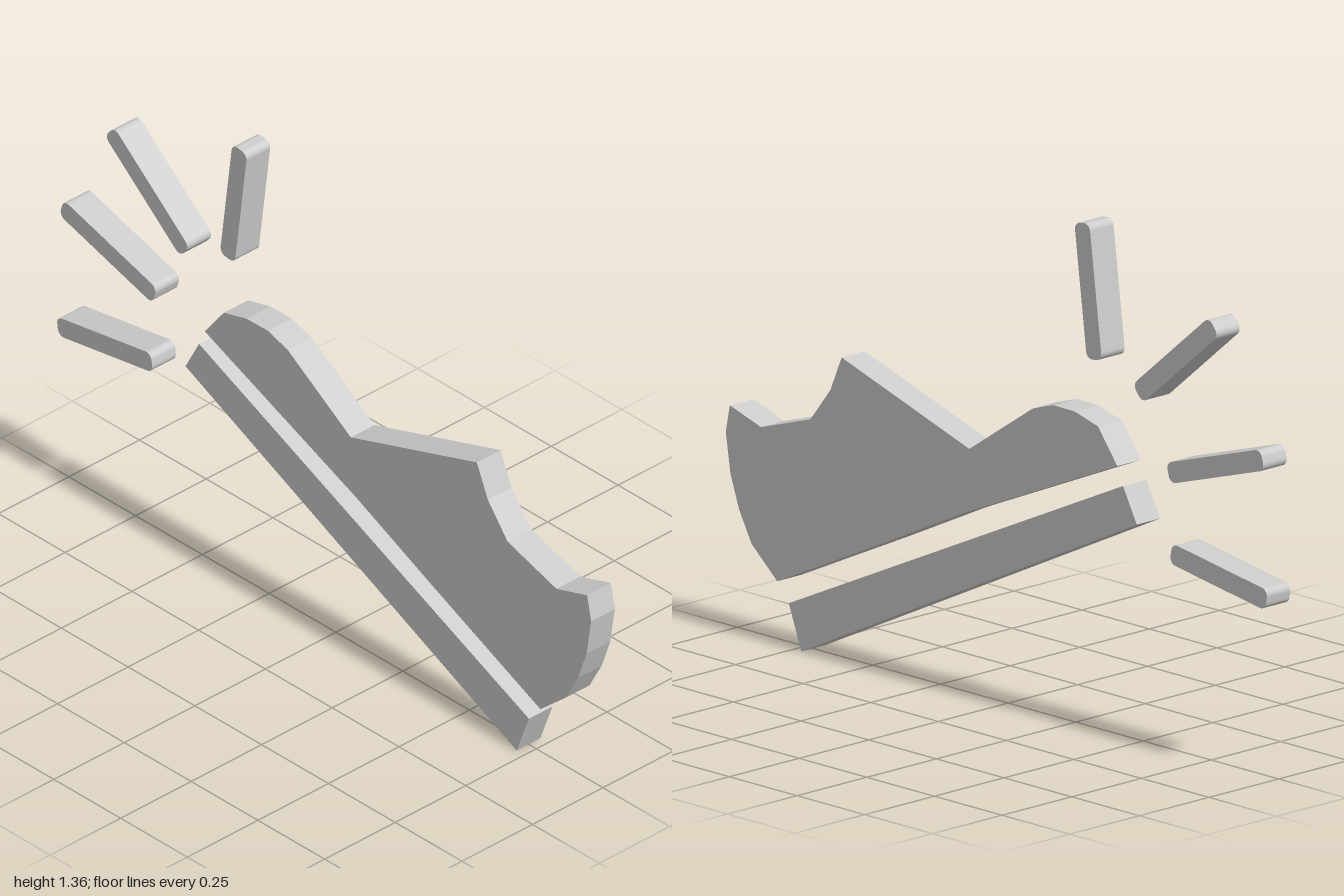
import * as THREE from 'three';

const DEPTH = 0.084;
const material = new THREE.MeshStandardMaterial({ color: 0xcccccc, flatShading: true });

// Extrude a side profile, drawn as (z, y), across the width in x.
function slab(name, shape) {
  const geometry = new THREE.ExtrudeGeometry(shape, { depth: DEPTH, bevelEnabled: false, curveSegments: 4 });
  geometry.translate(0, 0, -DEPTH / 2);
  geometry.rotateY(-Math.PI / 2);
  const mesh = new THREE.Mesh(geometry, material);
  mesh.name = name;
  return mesh;
}

const polygon = (points) => new THREE.Shape(points.map(([z, y]) => new THREE.Vector2(z, y)));

// Bar with rounded corners running between two (z, y) end points.
function bar(name, [z0, y0], [z1, y1]) {
  const l = Math.hypot(z1 - z0, y1 - y0) / 2, h = 0.028, r = 0.02;
  const s = new THREE.Shape();
  s.absarc(l - r, h - r, r, 0, Math.PI / 2);
  s.absarc(r - l, h - r, r, Math.PI / 2, Math.PI);
  s.absarc(r - l, r - h, r, Math.PI, Math.PI * 1.5);
  s.absarc(l - r, r - h, r, Math.PI * 1.5, Math.PI * 2);
  const mesh = slab(name, s);
  mesh.position.set(0, (y0 + y1) / 2, (z0 + z1) / 2);
  mesh.rotation.x = -Math.atan2(y1 - y0, z1 - z0);
  return mesh;
}

export function createModel() {
  const group = new THREE.Group();
  group.name = 'tiltedShoe';

  // Shoe upper: toe, tongue, ankle opening, heel, then along the underside
  group.add(slab('shoeUpper', polygon([
    [0.985, 0.605], [0.87, 0.57], [0.687, 0.628], [0.613, 0.722], [0.572, 0.817],
    [0.1, 0.668], [-0.135, 0.824], [-0.21, 0.848], [-0.29, 0.847], [-0.375, 0.825],
    [-0.447, 0.733], [0.117, 0.494], [0.41, 0.355], [0.81, 0.17], [0.905, 0.251],
    [0.951, 0.334], [0.983, 0.424], [1.0, 0.532],
  ])));

  // Separate sole
  group.add(slab('sole', polygon([[0.767, 0.12], [0.721, 0], [-0.519, 0.591], [-0.468, 0.684]])));

  // Bars radiating from the heel
  [
    [[-0.362, 1.0], [-0.316, 1.357]],
    [[-0.522, 0.942], [-0.803, 1.178]],
    [[-0.635, 0.752], [-0.983, 0.858]],
    [[-0.645, 0.54], [-0.998, 0.485]],
  ].forEach(([inner, outer], i) => group.add(bar(`ray${i + 1}`, inner, outer)));

  return group;
}
